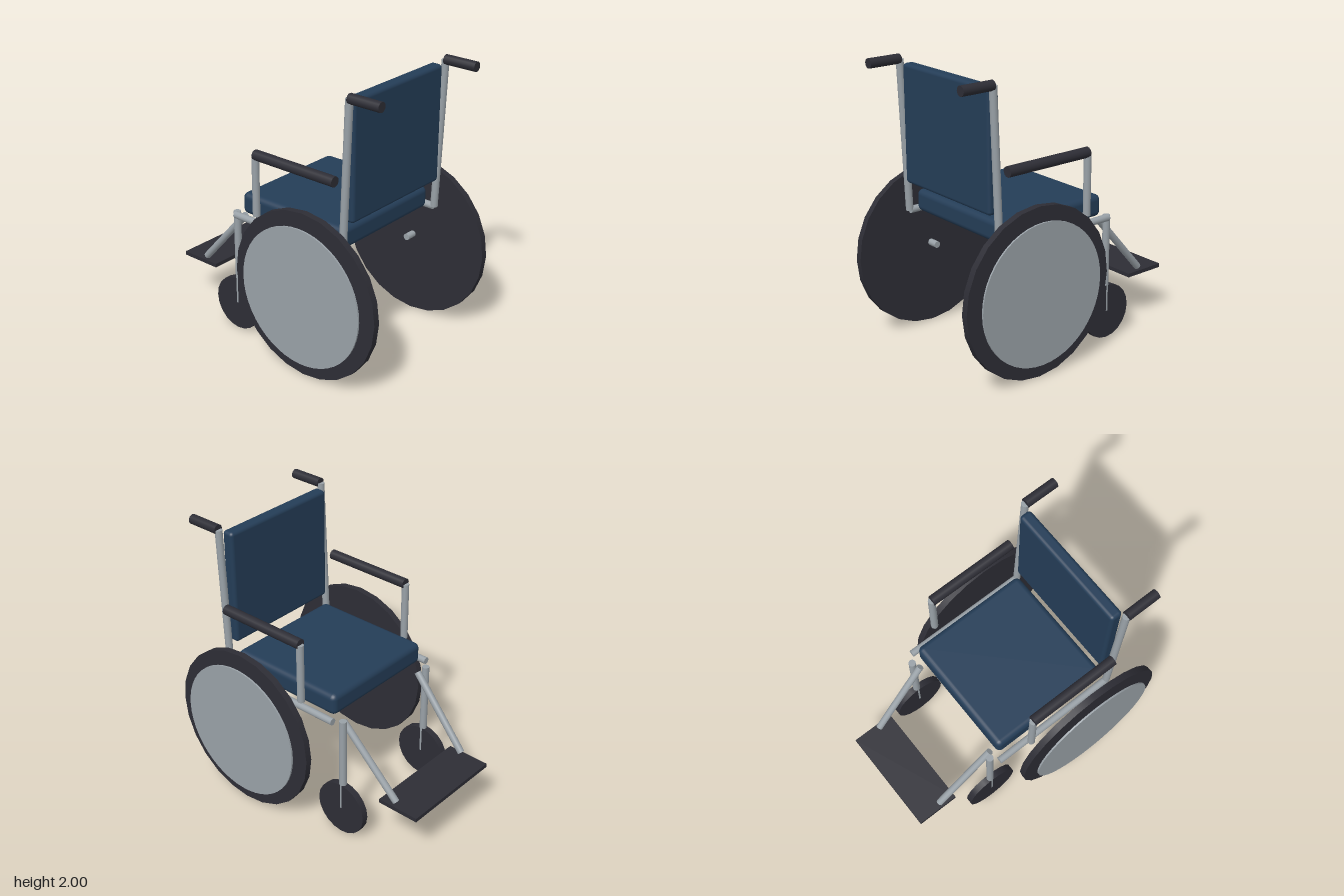
import * as THREE from 'three';
import { RoundedBoxGeometry } from 'three/addons/geometries/RoundedBoxGeometry.js';

function material(name, color) {
  const m = new THREE.MeshStandardMaterial({ color });
  m.name = name;
  return m;
}

export function createModel() {
  const group = new THREE.Group();
  const blue = material('blue upholstery', 0x243d57);
  const black = material('black rubber', 0x2d2d35);
  const metal = material('steel', 0x99a1a7);

  function add(name, geometry, mat, x = 0, y = 0, z = 0) {
    const mesh = new THREE.Mesh(geometry, mat);
    mesh.name = name;
    mesh.position.set(x, y, z);
    group.add(mesh);
    return mesh;
  }

  // Cylinder between two points
  function rod(name, a, b, radius, mat, sides = 12) {
    const from = new THREE.Vector3(...a), to = new THREE.Vector3(...b);
    const dir = to.clone().sub(from);
    const mesh = add(name, new THREE.CylinderGeometry(radius, radius, dir.length(), sides), mat);
    mesh.position.copy(from).add(to).multiplyScalar(0.5);
    mesh.quaternion.setFromUnitVectors(new THREE.Vector3(0, 1, 0), dir.normalize());
  }

  // Upholstery
  add('seat', new RoundedBoxGeometry(0.9, 0.155, 0.885, 3, 0.04), blue, 0, 0.988, 0.13);
  add('backrest', new RoundedBoxGeometry(0.905, 0.82, 0.088, 3, 0.025), blue, 0, 1.535, 0.607);

  // Foot plate
  add('footPlate', new THREE.BoxGeometry(0.78, 0.028, 0.31), black, 0, 0.367, -0.807);

  for (const [side, s] of [['left', 1], ['right', -1]]) {
    // Main wheel, outer disc and axle
    rod(side + 'Wheel', [s * 0.57, 0.59, 0.374], [s * 0.617, 0.59, 0.374], 0.588, black, 24);
    rod(side + 'HandRim', [s * 0.643, 0.59, 0.374], [s * 0.655, 0.59, 0.374], 0.49, metal, 48);
    rod(side + 'Axle', [s * 0.493, 0.595, 0.374], [s * 0.59, 0.595, 0.374], 0.024, metal);

    // Caster and its stem
    rod(side + 'Caster', [s * 0.411, 0.197, -0.374], [s * 0.459, 0.197, -0.374], 0.196, black, 20);
    rod(side + 'CasterStem', [s * 0.435, 0.2, -0.374], [s * 0.435, 0.903, -0.374], 0.026, metal);

    // Frame
    rod(side + 'SeatRail', [s * 0.49, 0.908, -0.335], [s * 0.49, 0.908, 0.595], 0.025, metal);
    rod(side + 'BackPost', [s * 0.49, 0.908, 0.6], [s * 0.49, 1.965, 0.642], 0.026, metal);
    rod(side + 'PushGrip', [s * 0.49, 1.966, 0.645], [s * 0.49, 1.966, 0.885], 0.034, black, 16);

    // Armrest
    rod(side + 'ArmPost', [s * 0.533, 0.987, -0.098], [s * 0.533, 1.415, -0.098], 0.026, metal);
    rod(side + 'Armrest', [s * 0.53, 1.419, -0.1], [s * 0.53, 1.419, 0.567], 0.036, black, 16);

    // Leg strut down to the foot plate
    rod(side + 'LegStrut', [s * 0.39, 0.865, -0.34], [s * 0.357, 0.4, -0.768], 0.025, metal);
  }
  return group;
}
